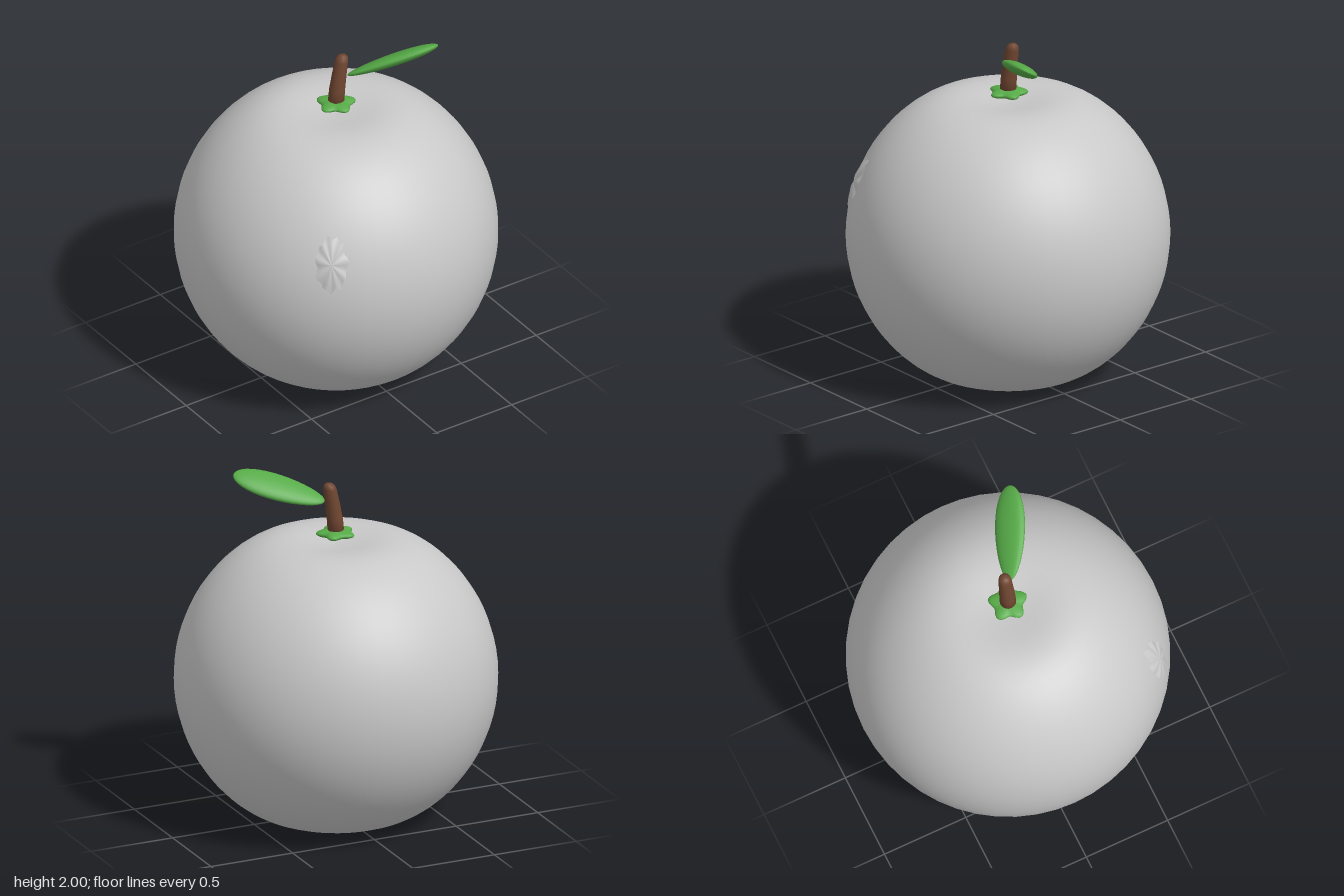
import * as THREE from 'three';
import { mergeVertices } from 'three/addons/utils/BufferGeometryUtils.js';

// Moves every vertex by a rule, then rebuilds seamless smooth normals
function reshape(geometry, rule) {
  geometry.deleteAttribute('uv');
  geometry.deleteAttribute('normal');
  const g = mergeVertices(geometry, 1e-5);
  const p = g.attributes.position;
  const v = new THREE.Vector3();
  for (let i = 0; i < p.count; i++) {
    v.fromBufferAttribute(p, i);
    rule(v);
    p.setXYZ(i, v.x, v.y, v.z);
  }
  g.computeVertexNormals();
  return g;
}

export function createModel() {
  const group = new THREE.Group();
  const skin = new THREE.MeshStandardMaterial({ name: 'pale grey skin', color: 0xc8c8c8 });
  const green = new THREE.MeshStandardMaterial({ name: 'leaf green', color: 0x56aa47 });
  const brown = new THREE.MeshStandardMaterial({ name: 'stem brown', color: 0x704631 });

  const add = (name, geometry, material) => {
    const mesh = new THREE.Mesh(geometry, material);
    mesh.name = name;
    group.add(mesh);
    return mesh;
  };

  // Fruit: a sphere with a shallow dimple at each pole
  const profile = [];
  const steps = 40;
  for (let i = 0; i <= steps; i++) {
    const a = -Math.PI / 2 + (Math.PI * i) / steps;
    const r = Math.max(0, 0.9 * Math.cos(a));
    const y = 0.9 * Math.sin(a);
    const dimple = 0.125 * Math.exp(-((r / 0.3) ** 2));
    profile.push(new THREE.Vector2(r, 0.803 + y - Math.sign(y) * dimple));
  }
  add('fruitBody', new THREE.LatheGeometry(profile, 48), skin);

  // Calyx: flattened disc with five lobes, one pointing forward
  const calyx = reshape(new THREE.SphereGeometry(1, 40, 12), (v) => {
    const a = Math.atan2(v.x, v.z);
    const lobe = 0.098 + 0.015 * Math.cos(5 * a);
    v.set(v.x * lobe, v.y * 0.025, v.z * lobe);
  });
  add('calyx', calyx, green).position.y = 1.645;

  // Stem: tapered, round-topped and leaning to the left
  const stemProfile = [
    [0, 0], [0.046, 0], [0.045, 0.08], [0.041, 0.18], [0.037, 0.26],
    [0.033, 0.28], [0.02, 0.293], [0, 0.297],
  ].map(([x, y]) => new THREE.Vector2(x, y));
  const stem = reshape(new THREE.LatheGeometry(stemProfile, 16), (v) => {
    v.x += 0.045 * Math.pow(Math.max(v.y, 0) / 0.297, 1.4);
  });
  add('stem', stem, brown).position.y = 1.65;

  // Leaf: a thick blade, slimmer at its base, rising outward from the stem
  const leaf = reshape(new THREE.SphereGeometry(1, 24, 18), (v) => {
    const taper = 1 + 0.15 * v.y;
    v.set(v.x * 0.092 * taper, v.y * 0.265, v.z * 0.034 * taper);
  });
  const along = new THREE.Vector3(0.86, 0.29, 0.42).normalize();
  const across = along.clone().cross(new THREE.Vector3(0, 0.85, -0.53)).normalize();
  const face = across.clone().cross(along);
  const blade = add('leaf', leaf, green);
  blade.quaternion.setFromRotationMatrix(new THREE.Matrix4().makeBasis(across, along, face));
  blade.position.set(0.28, 1.905, 0.147);

  // Blemish: a ragged, ridged patch lying on the front right of the fruit
  const n = new THREE.Vector3(-0.49, 0.32, 0.685).normalize();
  const side = new THREE.Vector3(0, 1, 0).cross(n).normalize();
  const up = n.clone().cross(side);
  const centre = new THREE.Vector3(0, 0.803, 0);
  const patch = reshape(new THREE.CircleGeometry(1, 44), () => {});
  patch.dispose();
  const blemish = reshape(new THREE.RingGeometry(0.001, 1, 44, 5), (v) => {
    const a = Math.atan2(v.y, v.x);
    const r = Math.hypot(v.x, v.y);
    const ragged = 0.93 + 0.06 * Math.sin(11 * a) + 0.05 * Math.sin(7 * a + 1);
    const height = 0.9 + 0.012 * (1 - r * r) + 0.005 * r * Math.sin(9 * a) + 0.003;
    const dir = n.clone().multiplyScalar(0.9)
      .addScaledVector(side, v.x * ragged * 0.095)
      .addScaledVector(up, v.y * ragged * 0.17);
    v.copy(dir.normalize().multiplyScalar(height).add(centre));
  });
  add('blemish', blemish, skin);

  return group;
}
